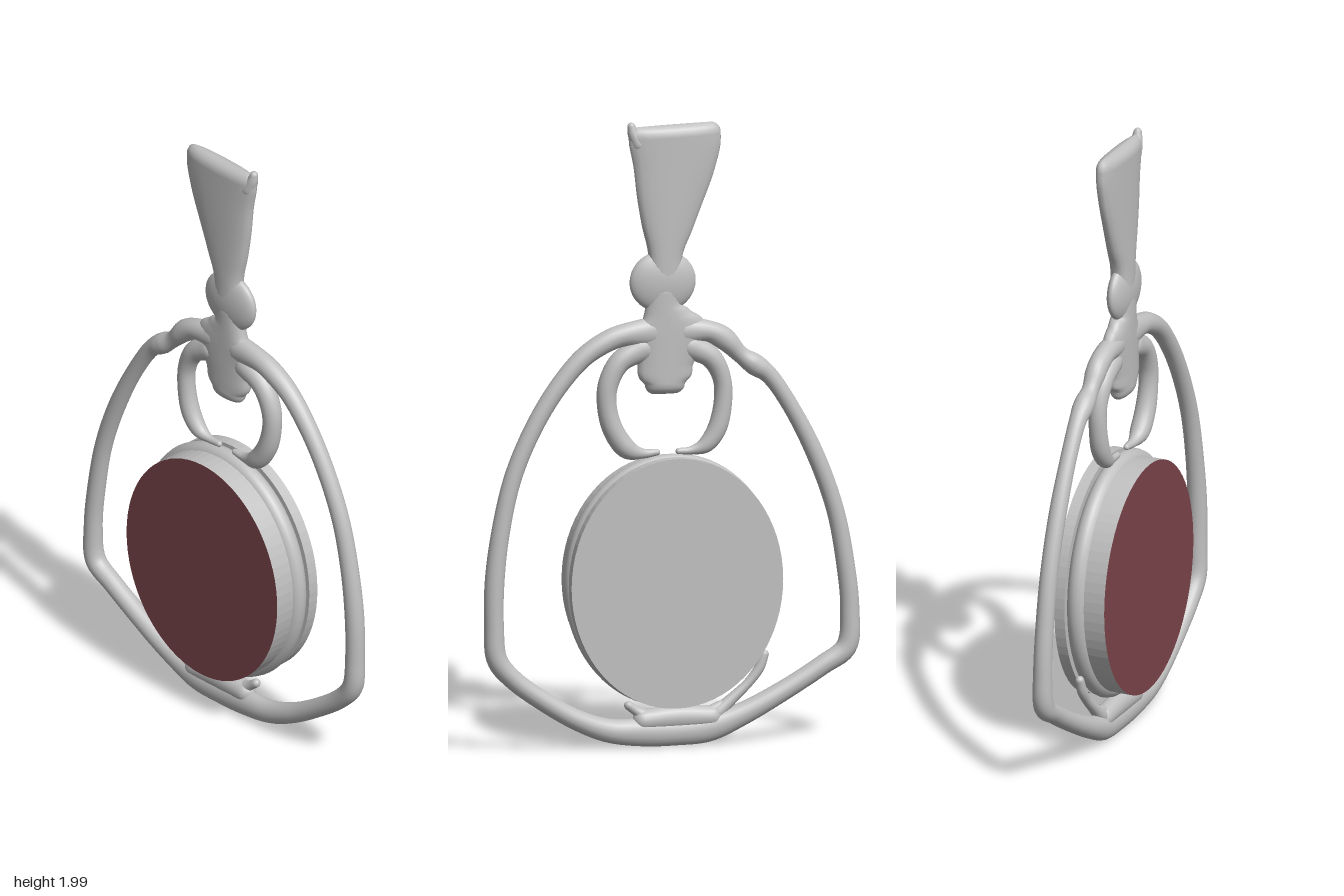
import * as THREE from 'three';

const DEPTH = 0.033;    // half thickness of all the cast metal
const MID_Z = -0.017;   // middle plane of the cast metal

// Soft cast strand through [x, y, halfWidth] points, thickness capped, with rounded ends
function strandGeometry(points, steps, fullness = 1) {
  const curve = new THREE.CatmullRomCurve3(points.map(p => new THREE.Vector3(...p)));
  const sides = 20, rings = [];
  const addRing = (t, ext, a) => {
    const p = curve.getPoint(t), q = curve.getTangent(t);
    const len = Math.hypot(q.x, q.y) || 1, tx = q.x / len, ty = q.y / len;
    const r = Math.max(p.z, 0.004), d = Math.min(r, DEPTH);
    rings.push({
      x: p.x + tx * ext * d * Math.sin(a), y: p.y + ty * ext * d * Math.sin(a),
      nx: -ty, ny: tx, w: r - d + d * Math.cos(a), d: d * Math.cos(a),
    });
  };
  const capSteps = 5;
  for (let i = capSteps; i > 0; i--) addRing(0, -1, (i / capSteps) * Math.PI / 2);
  for (let i = 0; i <= steps; i++) addRing(i / steps, 1, 0);
  for (let i = 1; i <= capSteps; i++) addRing(1, 1, (i / capSteps) * Math.PI / 2);

  const pos = [], index = [];
  const soft = v => Math.sign(v) * Math.pow(Math.abs(v), fullness);
  rings.forEach((g, i) => {
    for (let j = 0; j < sides; j++) {
      const a = (j / sides) * Math.PI * 2, c = soft(Math.cos(a)) * g.w;
      pos.push(g.x + g.nx * c, g.y + g.ny * c, MID_Z + soft(Math.sin(a)) * g.d);
      if (i === rings.length - 1) continue;
      const k = (j + 1) % sides, A = i * sides + j, B = i * sides + k;
      index.push(A, B, A + sides, B, B + sides, A + sides);
    }
  });
  const geo = new THREE.BufferGeometry();
  geo.setAttribute('position', new THREE.Float32BufferAttribute(pos, 3));
  geo.setIndex(index);
  geo.computeVertexNormals();
  return geo;
}

// Oval plate lying between two z positions, with a faceted edge
function ovalGeometry(rx, ry, z0, z1) {
  const geo = new THREE.CylinderGeometry(1, 1, z1 - z0, 72).rotateX(Math.PI / 2)
    .scale(rx, ry, 1).translate(0, 0, (z0 + z1) / 2).toNonIndexed();
  geo.computeVertexNormals();
  return geo;
}

export function createModel() {
  const model = new THREE.Group();
  model.name = 'pendant';
  const silver = new THREE.MeshStandardMaterial({ color: 0xc0c0c0 });
  silver.name = 'silver';
  const garnet = new THREE.MeshStandardMaterial({ color: 0x7a4449 });
  garnet.name = 'dark red';

  const add = (name, geo, mat = silver, x = 0, y = 0, z = 0) => {
    const mesh = new THREE.Mesh(geo, mat);
    mesh.name = name;
    mesh.position.set(x, y, z);
    model.add(mesh);
  };

  // Flared bail
  add('bail', strandGeometry([
    [0.02, 1.50, 0.05], [0.018, 1.58, 0.056], [0.012, 1.66, 0.082], [0.002, 1.76, 0.110],
    [-0.010, 1.86, 0.134], [-0.013, 1.92, 0.147], [-0.012, 1.955, 0.149],
  ], 40, 0.85));
  add('bailTip', strandGeometry([[0.105, 1.93, 0.024], [0.122, 1.965, 0.018], [0.128, 1.987, 0.013]], 8));

  // Bead below the bail
  add('bead', new THREE.SphereGeometry(1, 32, 20).scale(0.107, 0.098, DEPTH + 0.001), silver, 0.027, 1.49, MID_Z);

  // Central body ending in a rounded drop
  add('body', strandGeometry([
    [0.025, 1.46, 0.05], [0.025, 1.41, 0.058], [0.018, 1.375, 0.085], [0.010, 1.33, 0.125],
    [0.012, 1.28, 0.105], [0.018, 1.23, 0.09], [0.02, 1.19, 0.086], [0.02, 1.165, 0.065],
  ], 40, 0.9));

  // Triangular outer frame, from the right shoulder round the bottom to the left one
  add('frame', strandGeometry([
    [0.06, 1.33, 0.05], [0.15, 1.325, 0.036], [0.20, 1.31, 0.034], [0.28, 1.262, 0.031],
    [0.36, 1.175, 0.029], [0.44, 1.05, 0.028], [0.51, 0.89, 0.028], [0.55, 0.72, 0.029],
    [0.57, 0.56, 0.031], [0.572, 0.42, 0.031], [0.562, 0.31, 0.033], [0.51, 0.245, 0.031],
    [0.41, 0.17, 0.031], [0.30, 0.105, 0.033], [0.20, 0.068, 0.038], [0.09, 0.058, 0.045],
    [-0.02, 0.056, 0.045], [-0.12, 0.063, 0.045], [-0.22, 0.097, 0.037], [-0.35, 0.162, 0.032],
    [-0.49, 0.245, 0.031], [-0.567, 0.30, 0.033], [-0.578, 0.42, 0.030], [-0.563, 0.57, 0.029],
    [-0.53, 0.74, 0.028], [-0.465, 0.92, 0.028], [-0.38, 1.085, 0.026], [-0.315, 1.178, 0.028],
    [-0.27, 1.212, 0.034], [-0.225, 1.245, 0.027], [-0.17, 1.30, 0.036], [-0.12, 1.325, 0.034],
    [-0.04, 1.33, 0.045],
  ], 200));

  // Two hooks reaching down to the stone
  add('rightHook', strandGeometry([
    [-0.06, 1.28, 0.04], [-0.13, 1.24, 0.034], [-0.165, 1.17, 0.029], [-0.167, 1.09, 0.029],
    [-0.147, 1.01, 0.03], [-0.11, 0.962, 0.025], [-0.065, 0.948, 0.013], [-0.025, 0.947, 0.010],
  ], 44));
  add('leftHook', strandGeometry([
    [0.09, 1.28, 0.04], [0.165, 1.24, 0.034], [0.203, 1.17, 0.032], [0.207, 1.10, 0.031],
    [0.185, 1.02, 0.033], [0.14, 0.96, 0.031], [0.09, 0.945, 0.016], [0.045, 0.947, 0.010],
  ], 44));

  // Saddle and small prongs under the stone
  add('saddle', strandGeometry([[-0.13, 0.098, 0.035], [-0.02, 0.10, 0.04], [0.09, 0.095, 0.035]], 16));
  add('rightProng', strandGeometry([
    [-0.15, 0.11, 0.024], [-0.195, 0.15, 0.018], [-0.25, 0.20, 0.015], [-0.285, 0.245, 0.016], [-0.302, 0.288, 0.014],
  ], 24));
  add('rightSpur', strandGeometry([[-0.12, 0.11, 0.02], [-0.165, 0.135, 0.014], [-0.19, 0.142, 0.010]], 10));
  add('leftProng', strandGeometry([[0.07, 0.10, 0.026], [0.11, 0.125, 0.016], [0.137, 0.145, 0.014]], 12));

  // Oval bezel, stone with red face, and backing plate
  const cy = 0.538;
  add('bezel', new THREE.TorusGeometry(0.315, 0.033, 16, 72).scale(1, 1.157, 1), silver, -0.003, cy, MID_Z);
  const stone = ovalGeometry(0.331, 0.381, -0.02, 0.082);
  add('stone', stone, [silver, garnet, silver], -0.003, cy + 0.002);
  add('backPlate', ovalGeometry(0.342, 0.397, -0.086, -0.05), silver, -0.003, cy);

  return model;
}
